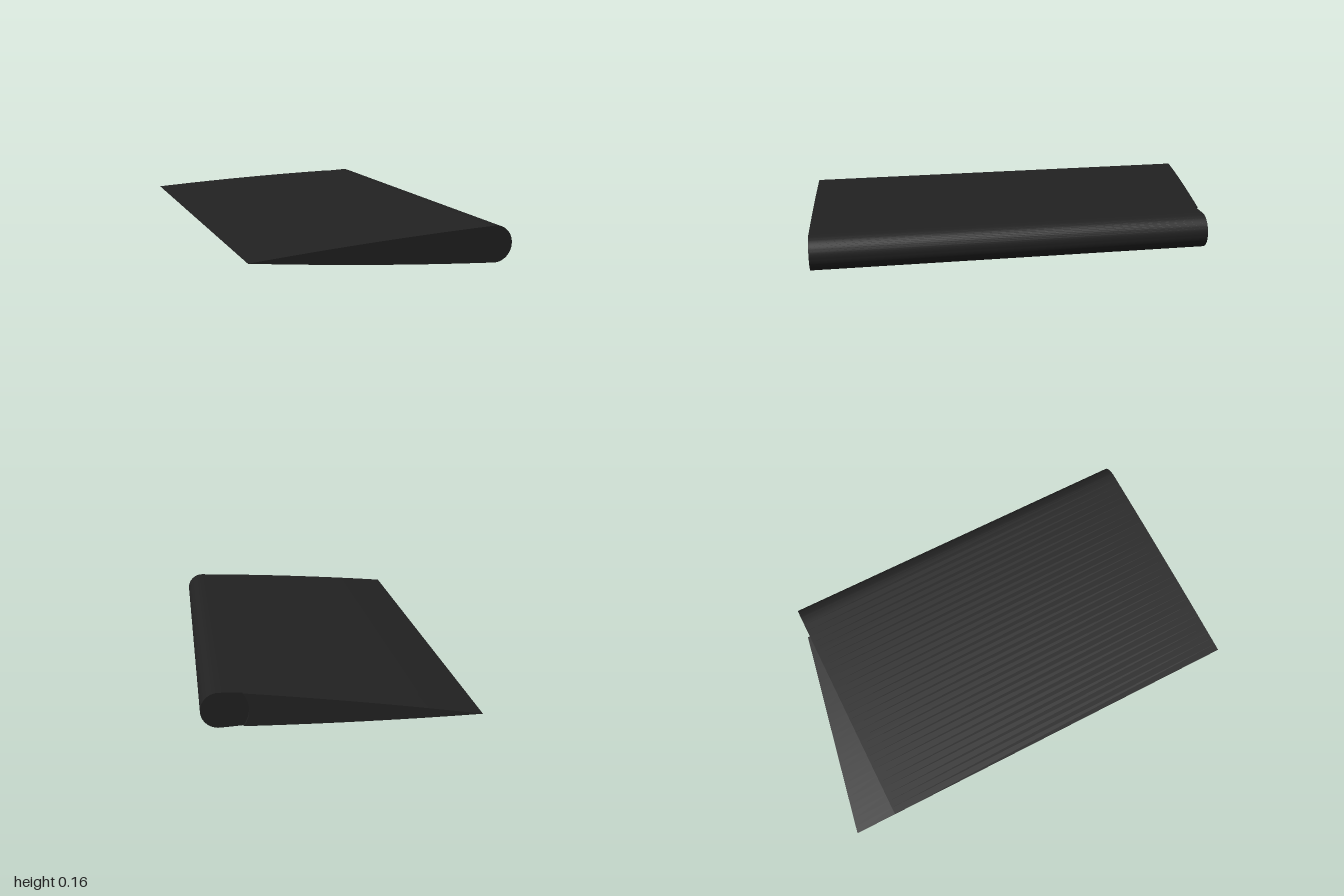
import * as THREE from 'three';
import { toCreasedNormals } from 'three/addons/utils/BufferGeometryUtils.js';

const R = 0.08;        // nose radius and half thickness
const TAIL_X = -0.58;  // trailing edge
const NOSE_X = 0.5;    // centre of the rounded nose
const STEP_X = 0.4;    // where the slanted tip stops
const STEP_Z = -0.805; // back end of the main panel

// gently bowed half thickness, from the trailing edge to the nose
const bow = new THREE.QuadraticBezierCurve(
  new THREE.Vector2(TAIL_X, 0), new THREE.Vector2(-0.04, 0.055), new THREE.Vector2(NOSE_X, R));
const upperEdge = bow.getPoints(32);

const mirrored = (points) => points.map((p) => new THREE.Vector2(p.x, -p.y)).reverse();

// closed section: lower edge runs nose to tail, upper edge tail to nose
function sectionShape(edge, endCurve) {
  const upper = edge.slice(1);
  return new THREE.Shape([...mirrored(upper), edge[0], ...upper, ...endCurve]);
}

function arc(cx, radius, from, to, steps) {
  const points = [];
  for (let i = 1; i < steps; i++) {
    const a = from + ((to - from) * i) / steps;
    points.push(new THREE.Vector2(cx + radius * Math.cos(a), radius * Math.sin(a)));
  }
  return points;
}

function extrude(shape, zBack, zFront) {
  const geometry = new THREE.ExtrudeGeometry(shape, { depth: 1, bevelEnabled: false, steps: 1 });
  const pos = geometry.attributes.position;
  for (let i = 0; i < pos.count; i++) {
    pos.setZ(i, pos.getZ(i) < 0.5 ? zBack(pos.getX(i)) : zFront);
  }
  geometry.translate(0, R, 0);
  return toCreasedNormals(geometry, 0.5);
}

export function createModel() {
  const group = new THREE.Group();
  group.name = 'wingPanel';
  const black = new THREE.MeshStandardMaterial({ color: 0x222222 });
  black.name = 'charcoal';

  // main panel with the rounded leading edge
  const nose = arc(NOSE_X, R, Math.PI / 2, -Math.PI / 2, 32);
  const panel = new THREE.Mesh(extrude(sectionShape(upperEdge, nose), () => STEP_Z, 1), black);
  panel.name = 'mainPanel';
  group.add(panel);

  // slanted tip, hollowed at its front end around the leading edge
  const tipEdge = upperEdge.filter((p) => p.x < STEP_X - 0.01);
  const last = upperEdge.find((p) => p.x >= STEP_X - 0.01);
  tipEdge.push(new THREE.Vector2(STEP_X, last.y));
  const radius = Math.hypot(NOSE_X - STEP_X, last.y);
  const angle = Math.atan2(last.y, STEP_X - NOSE_X);
  const hollow = arc(NOSE_X, radius, angle, 2 * Math.PI - angle, 16);
  const slant = (x) => -1 + (0.185 * (x - TAIL_X)) / (STEP_X - TAIL_X);
  const tip = new THREE.Mesh(extrude(sectionShape(tipEdge, hollow), slant, STEP_Z), black);
  tip.name = 'slantedTip';
  group.add(tip);

  return group;
}
